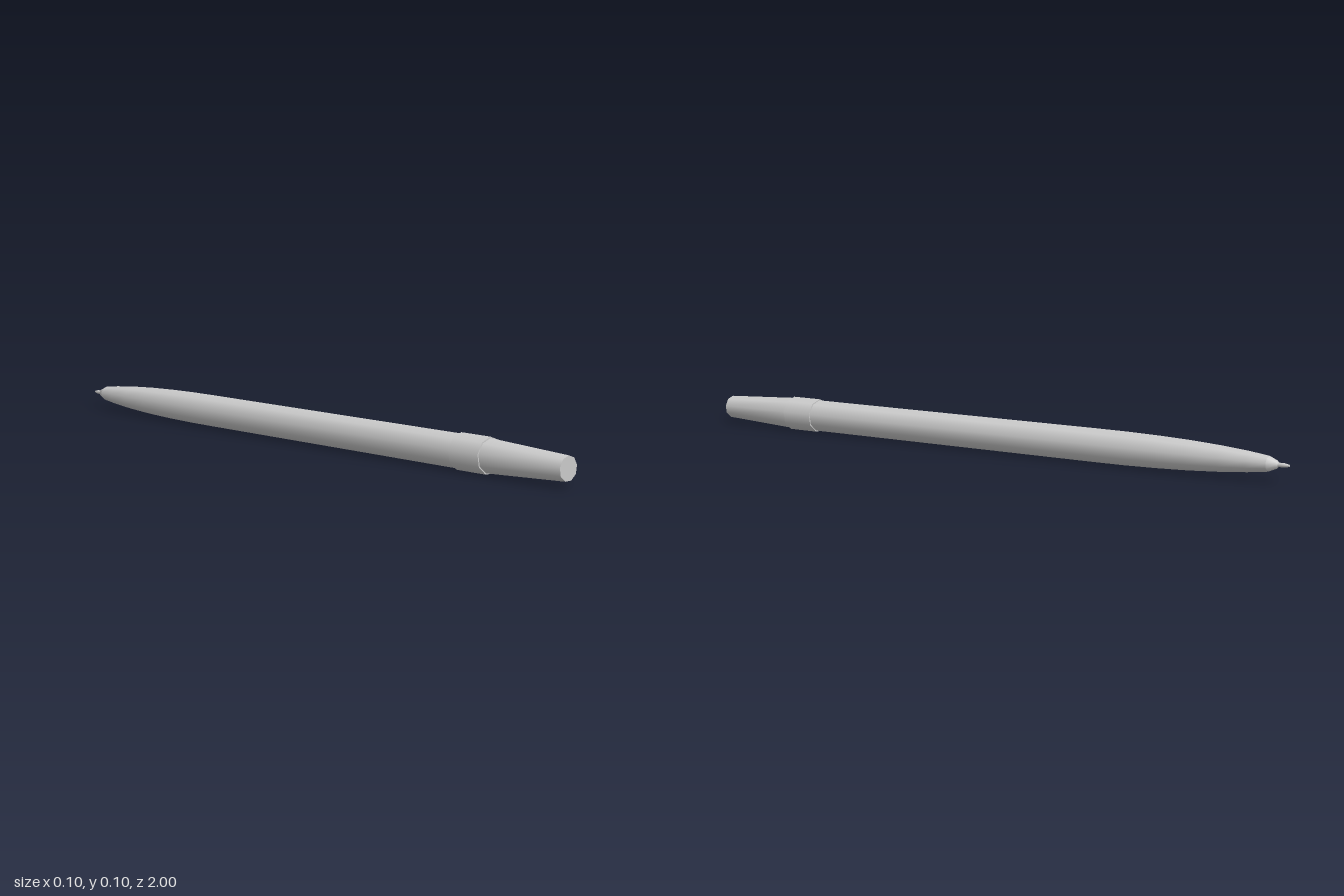
import * as THREE from 'three';

const SIDES = 9;
const AXIS_Y = 0.0485;

export function createModel() {
  const group = new THREE.Group();
  const material = new THREE.MeshStandardMaterial({ color: 0xcccccc });

  // Turned part along z; each run of [z, radius] points is smooth, runs meet at hard edges
  function turned(name, ...runs) {
    const part = new THREE.Group();
    part.name = name;
    for (const run of runs) {
      const points = run.map(([z, r]) => new THREE.Vector2(r, z));
      const geometry = new THREE.LatheGeometry(points, SIDES, Math.PI);
      geometry.rotateX(Math.PI / 2);
      geometry.translate(0, AXIS_Y, 0);
      const mesh = new THREE.Mesh(geometry, material);
      mesh.name = name;
      part.add(mesh);
    }
    group.add(part);
  }

  // Writing point
  turned('writingTip',
    [[-1, 0], [-1, 0.003]],
    [[-1, 0.003], [-0.985, 0.006], [-0.96, 0.006]]);

  // Barrel: blunt nose, tapered grip and straight shaft
  turned('barrel',
    [[-0.968, 0.005], [-0.962, 0.012], [-0.94, 0.0215]],
    [[-0.94, 0.0215], [-0.88, 0.029], [-0.8, 0.036], [-0.7, 0.042],
      [-0.6, 0.0455], [-0.5, 0.0475], [-0.4, 0.048], [0.64, 0.048]]);

  // Raised collar
  turned('collar',
    [[0.63, 0.04], [0.63, 0.0515]],
    [[0.63, 0.0515], [0.735, 0.0515]],
    [[0.735, 0.0515], [0.735, 0.04]]);

  // Tapered rear end with flat cap
  turned('rearEnd',
    [[0.73, 0.048], [1, 0.0345]],
    [[1, 0.0345], [1, 0]]);

  return group;
}
